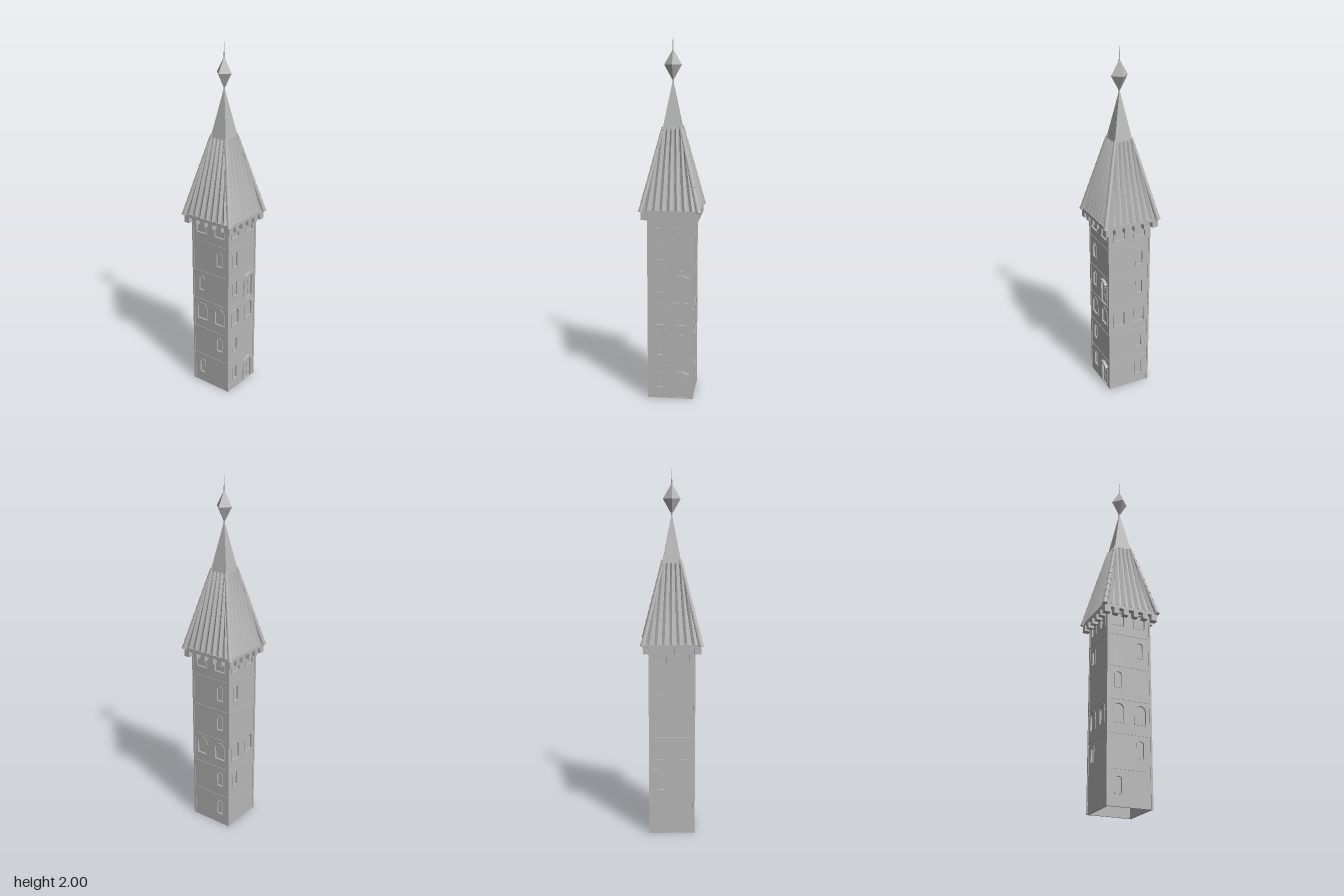
import * as THREE from 'three';
import { ConvexGeometry } from 'three/addons/geometries/ConvexGeometry.js';

const stone = new THREE.MeshStandardMaterial({ color: 0xb8b8b8 });
stone.name = 'grey stone';

function add(parent, geometry, name, x = 0, y = 0, z = 0) {
  const mesh = new THREE.Mesh(geometry, stone);
  mesh.name = name;
  mesh.position.set(x, y, z);
  parent.add(mesh);
  return mesh;
}
const box = (w, h, d) => new THREE.BoxGeometry(w, h, d);
const extrude = (shape, depth) => new THREE.ExtrudeGeometry(shape, { depth, bevelEnabled: false, curveSegments: 10 });
function faceted(geometry) {
  const g = geometry.toNonIndexed();
  g.computeVertexNormals();
  return g;
}

// Upright opening with a curved head
function archOutline(Type, { x, y, w, h, rise }, grow = 0) {
  const r = w / 2 + grow, spring = y + h - rise, p = new Type();
  p.moveTo(x - r, y - grow);
  p.lineTo(x + r, y - grow);
  p.lineTo(x + r, spring);
  p.absellipse(x, spring, r, rise + grow, 0, Math.PI, false, 0);
  p.closePath();
  return p;
}

const HALF = 0.124, WALL_TOP = 1.062, FLOOR = 0.183;
const windowAt = (x, y) => ({ x, y, w: 0.034, h: 0.085, rise: 0.013, kind: 'window' });
const archAt = (x, y, h) => ({ x, y, w: 0.062, h, rise: 0.03, kind: 'archedWindow' });
const doorAt = (y) => ({ x: 0.06, y, w: 0.066, h: 0.14, rise: 0.016, kind: 'door' });

// One wall: plate with openings, recessed panes, frames and floor bands
function buildWall(openings) {
  const wall = new THREE.Group();
  const plate = new THREE.Shape();
  plate.moveTo(-0.123, 0);
  plate.lineTo(0.123, 0);
  plate.lineTo(0.123, WALL_TOP);
  plate.lineTo(-0.123, WALL_TOP);
  plate.closePath();
  plate.holes = openings.map((o) => archOutline(THREE.Path, o));
  add(wall, extrude(plate, 0.01), 'wallPlate', 0, 0, HALF - 0.01);

  for (const o of openings) {
    add(wall, extrude(archOutline(THREE.Shape, o, 0.002), 0.004), o.kind + 'Pane', 0, 0, HALF - 0.011);
    const frame = archOutline(THREE.Shape, o, 0.005);
    frame.holes.push(archOutline(THREE.Path, o));
    if (o.kind !== 'door') add(wall, extrude(frame, 0.004), o.kind + 'Frame', 0, 0, HALF - 0.001);
    else {
      // Projecting hood, jambs and door boards
      const hood = new THREE.Shape(), cy = o.y + o.h - 0.04;
      hood.absarc(o.x, cy, 0.058, 0.75, Math.PI - 0.75, false);
      hood.absarc(o.x, cy, 0.047, Math.PI - 0.75, 0.75, true);
      hood.closePath();
      add(wall, extrude(hood, 0.018), 'doorHood', 0, 0, HALF - 0.001);
      for (const s of [-1, 1]) {
        add(wall, box(0.007, 0.122, 0.008), 'doorJamb', o.x + s * 0.036, o.y + 0.062, HALF);
        for (const py of [0.035, 0.088])
          add(wall, box(0.022, 0.036, 0.004), 'doorPanel', o.x + s * 0.014, o.y + py, HALF - 0.006);
      }
    }
  }
  for (let i = 1; i <= 5; i++) add(wall, box(0.24, 0.007, 0.006), 'floorBand', 0, i * FLOOR + 0.005, HALF - 0.0005);
  return wall;
}

const EAVE = 1.075, RISE = 0.43;
const roofHalf = (t) => 0.15 - 0.102 * t;

// One roof slope: tapering triangular ribs that stop at the hips
function buildRibs() {
  const slope = new THREE.Group();
  for (let i = -3; i <= 3; i++) {
    const x0 = i * 0.0405, x1 = x0 * 0.58;
    const t1 = Math.min(1, (0.15 - Math.abs(x1)) / 0.102);
    const section = (x, t, w) => [[-w, -0.004], [w, -0.004], [0, 0.011]].map(
      ([dx, out]) => new THREE.Vector3(x + dx, EAVE + RISE * t + out * 0.2, roofHalf(t) + out));
    add(slope, new ConvexGeometry([...section(x0, 0, 0.02), ...section(x1, t1, 0.012)]), 'roofRib');
  }
  return slope;
}

export function createModel() {
  const model = new THREE.Group();
  model.name = 'tower';

  // Walls, in order front, left, back, right
  const arches = [-0.062, 0.062].flatMap((x) => [archAt(x, 0.43, 0.1), archAt(x, 0.975, 0.075)]);
  const rows = [0.065, 0.255, 0.618, 0.8];
  const sides = [
    [...rows.map((y) => windowAt(-0.062, y)), doorAt(0.004), doorAt(FLOOR * 3 + 0.01)],
    rows.map((y) => windowAt(0.062, y)),
    [windowAt(-0.062, 0.255), windowAt(-0.062, 0.8)],
    [windowAt(-0.062, 0.065), windowAt(0.062, 0.255), windowAt(-0.062, 0.618), windowAt(0.062, 0.8)],
  ];
  sides.forEach((openings, k) => {
    const side = new THREE.Group();
    side.name = 'side' + (k + 1);
    side.rotation.y = k * Math.PI / 2;
    const wall = buildWall([...openings, ...arches]);
    wall.name = 'wall';
    const ribs = buildRibs();
    ribs.name = 'roofRibs';
    side.add(wall, ribs);
    add(side, box(0.011, WALL_TOP, 0.011), 'cornerPost', 0.1215, WALL_TOP / 2, 0.1215);
    // Corbels under the eaves
    for (let i = 0; i < 6; i++)
      add(side, box(0.028, 0.04, 0.034), 'corbel', -0.1425 + i * 0.057, 1.045, 0.139);
    // Overlapping barrel tiles along one hip
    const hip = new THREE.Group();
    hip.name = 'hipTiles';
    const low = new THREE.Vector3(0.156, EAVE - 0.005, 0.156);
    const high = new THREE.Vector3(0.047, EAVE + RISE + 0.01, 0.047);
    const dir = high.clone().sub(low), count = 10, step = dir.length() / count;
    const turn = new THREE.Quaternion().setFromUnitVectors(new THREE.Vector3(0, 1, 0), dir.clone().normalize());
    for (let i = 0; i < count; i++) {
      const p = low.clone().addScaledVector(dir, (i + 0.5) / count);
      const size = 1 - 0.035 * i;
      const tile = add(hip, new THREE.CylinderGeometry(0.0115 * size, 0.015 * size, step * 1.1, 10), 'hipTile', p.x, p.y, p.z);
      tile.quaternion.copy(turn);
    }
    side.add(hip);
    model.add(side);
  });

  // Eaves slab and roof body
  add(model, box(0.312, 0.02, 0.312), 'eaves', 0, 1.068, 0);
  const pyramid = (top, bottom, h) =>
    faceted(new THREE.CylinderGeometry(top * Math.SQRT2, bottom * Math.SQRT2, h, 4).rotateY(Math.PI / 4));
  add(model, pyramid(0.048, 0.15, RISE), 'roofBody', 0, EAVE + RISE / 2, 0);
  add(model, pyramid(0.002, 0.052, 0.26), 'spire', 0, 1.63, 0);

  // Finial: stem, diamond and needle
  add(model, new THREE.CylinderGeometry(0.004, 0.004, 0.06, 8), 'finialStem', 0, 1.765, 0);
  add(model, faceted(new THREE.CylinderGeometry(0.003, 0.048, 0.077, 4)), 'finialTop', 0, 1.8835, 0);
  add(model, faceted(new THREE.CylinderGeometry(0.048, 0.004, 0.078, 4)), 'finialBottom', 0, 1.806, 0);
  add(model, new THREE.CylinderGeometry(0.0004, 0.004, 0.085, 8), 'finialNeedle', 0, 1.9575, 0);

  return model;
}
